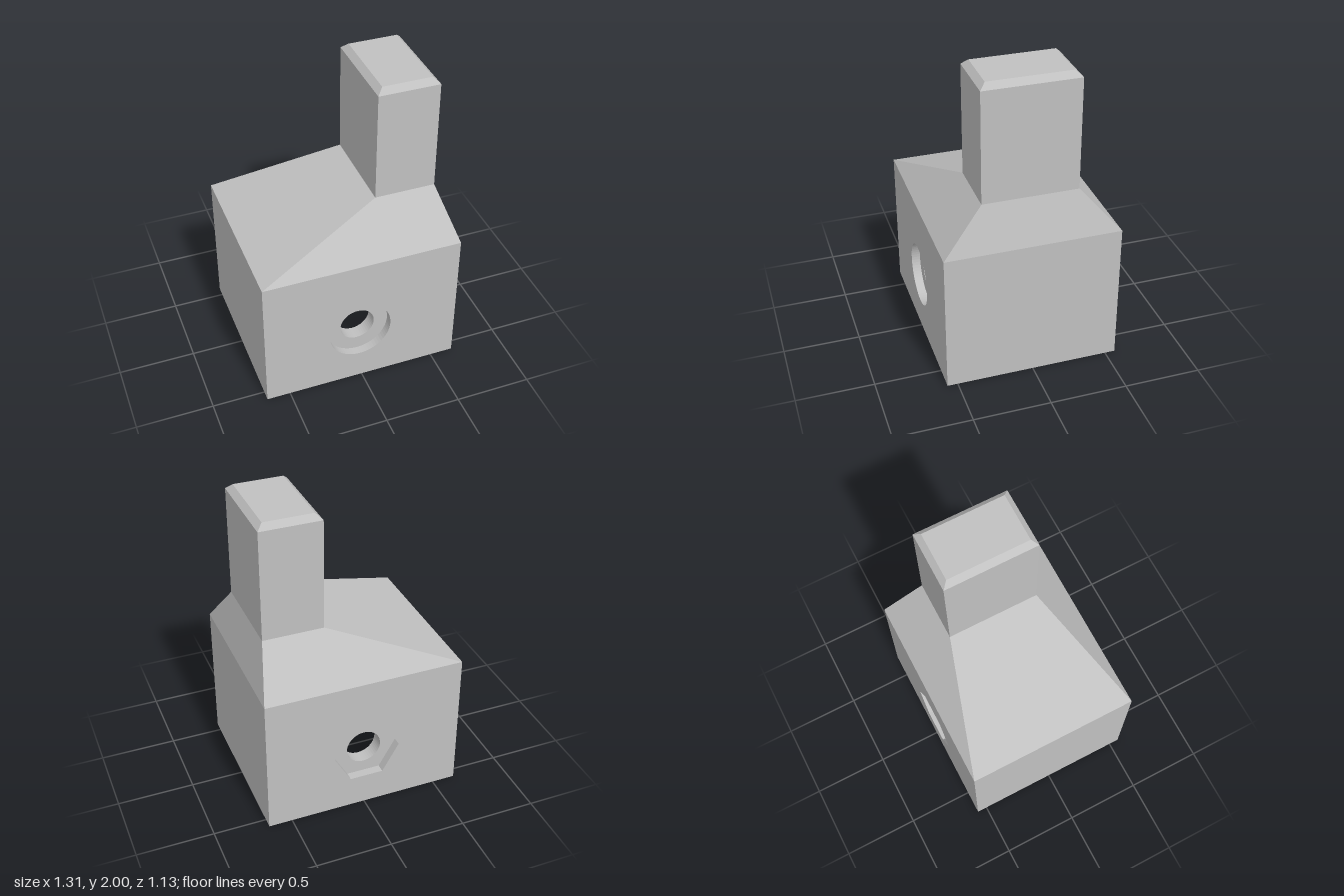
import * as THREE from 'three';

const HALF_X = 0.655, HALF_Z = 0.567, BODY_H = 0.935;
const HOLE = { x: -0.015, y: 0.405, r: 0.115 };
const RECESS = 0.057;    // depth of the bolt head and nut pockets
const CAVITY_Z = 0.42;   // half depth of the socket

// Rectangular body section facing z
function bodySection() {
  return new THREE.Shape([
    new THREE.Vector2(-HALF_X, 0), new THREE.Vector2(HALF_X, 0),
    new THREE.Vector2(HALF_X, BODY_H), new THREE.Vector2(-HALF_X, BODY_H),
  ]);
}

// Regular polygon opening around the bolt axis
function opening(radius, sides) {
  const points = [];
  for (let i = 0; i < sides; i++) {
    const a = (i / sides) * Math.PI * 2;
    points.push(new THREE.Vector2(HOLE.x + radius * Math.cos(a), HOLE.y + radius * Math.sin(a)));
  }
  return new THREE.Path(points);
}

// Extrude a section between two z planes
function slab(shape, z0, z1) {
  const g = new THREE.ExtrudeGeometry(shape, { depth: z1 - z0, bevelEnabled: false });
  return g.translate(0, 0, z0);
}

// Flat-sided solid through stacked rectangles [y, x0, x1, halfZ], closed on top
function loft(rings) {
  const pos = [];
  const corners = ([y, x0, x1, z]) => [[x0, y, z], [x1, y, z], [x1, y, -z], [x0, y, -z]];
  const quad = (a, b, c, d) => pos.push(...a, ...b, ...c, ...a, ...c, ...d);
  for (let r = 0; r < rings.length - 1; r++) {
    const lo = corners(rings[r]), hi = corners(rings[r + 1]);
    for (let i = 0; i < 4; i++) {
      const j = (i + 1) % 4;
      quad(lo[i], lo[j], hi[j], hi[i]);
    }
  }
  quad(...corners(rings[rings.length - 1]));
  const g = new THREE.BufferGeometry();
  g.setAttribute('position', new THREE.Float32BufferAttribute(pos, 3));
  g.computeVertexNormals();
  return g;
}

export function createModel() {
  const model = new THREE.Group();
  model.name = 'postSocketAdapter';
  const grey = new THREE.MeshStandardMaterial({ color: 0xc0c0c0 });
  grey.name = 'grey';
  const add = (name, geometry) => {
    const mesh = new THREE.Mesh(geometry, grey);
    mesh.name = name;
    model.add(mesh);
  };
  const plate = (name, radius, sides, z0, z1) => {
    const shape = bodySection();
    shape.holes.push(opening(radius, sides));
    add(name, slab(shape, z0, z1));
  };

  // Front and back walls: pocket layer outside, bolt hole layer inside
  const pocketZ = HALF_Z - RECESS;
  plate('frontBoltPocket', 0.208, 64, pocketZ, HALF_Z);
  plate('frontWall', HOLE.r, 48, CAVITY_Z, pocketZ);
  plate('backWall', HOLE.r, 48, -pocketZ, -CAVITY_Z);
  plate('backNutPocket', 0.221, 6, -HALF_Z, -pocketZ);

  // Side walls and ceiling around the socket, open at the bottom
  const inL = -0.493, inR = 0.463, ceiling = 0.75;
  const arch = new THREE.Shape([
    [-HALF_X, 0], [inL, 0], [inL, ceiling], [inR, ceiling],
    [inR, 0], [HALF_X, 0], [HALF_X, BODY_H], [-HALF_X, BODY_H],
  ].map(([x, y]) => new THREE.Vector2(x, y)));
  add('sideWalls', slab(arch, -CAVITY_Z, CAVITY_Z));

  // Tapered shoulder, then the offset post with its chamfered top
  const foot = [1.235, 0.172, 0.57, 0.307];
  add('shoulder', loft([[BODY_H, -HALF_X, HALF_X, HALF_Z], foot]));
  add('post', loft([foot, [1.963, 0.172, 0.57, 0.307], [2, 0.21, 0.532, 0.269]]));

  return model;
}
